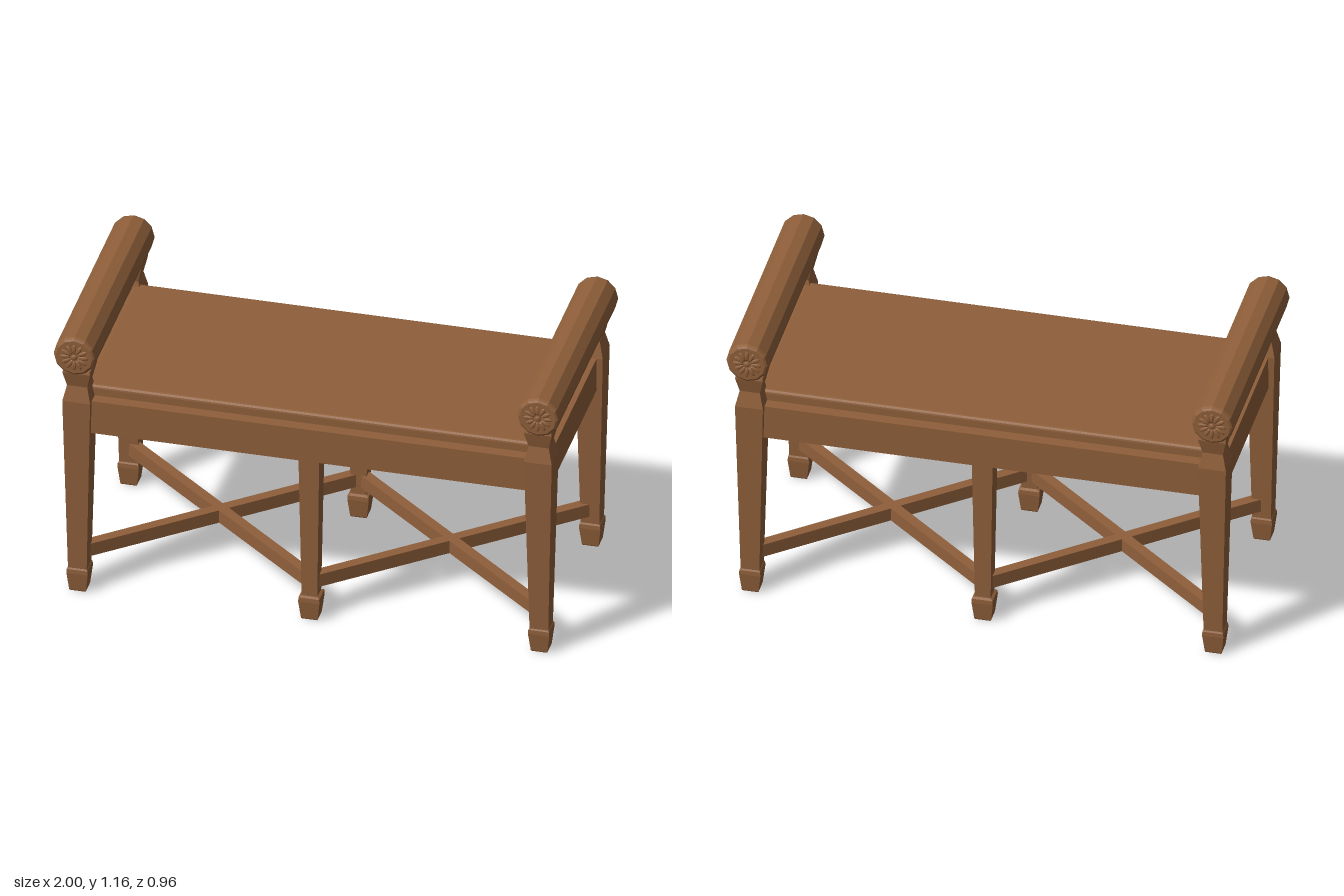
import * as THREE from 'three';
import { RoundedBoxGeometry } from 'three/addons/geometries/RoundedBoxGeometry.js';

const wood = new THREE.MeshStandardMaterial({ color: 0x8f5f3a, flatShading: true });

function part(name, geometry, x = 0, y = 0, z = 0) {
  const mesh = new THREE.Mesh(geometry, wood);
  mesh.name = name;
  mesh.position.set(x, y, z);
  return mesh;
}

function turned(profile, sides) {
  return new THREE.LatheGeometry(profile.map(([r, y]) => new THREE.Vector2(r, y)), sides);
}

// Square post from [half width, height] pairs, bottom to top
function post(profile) {
  const last = profile[profile.length - 1];
  const rows = [[0, profile[0][1]], ...profile.map(([h, y]) => [h * Math.SQRT2, y]), [0, last[1]]];
  return turned(rows, 4).rotateY(Math.PI / 4);
}

// Carved flower on a bolster end, facing +z
function rosette() {
  const group = new THREE.Group();
  group.name = 'rosette';
  const petal = new THREE.SphereGeometry(1, 8, 6).scale(0.021, 0.0085, 0.005);
  for (let i = 0; i < 12; i++) {
    const a = (i / 12) * Math.PI * 2;
    const p = part('petal', petal, Math.cos(a) * 0.036, Math.sin(a) * 0.036, 0);
    p.rotation.z = a;
    group.add(p);
  }
  group.add(part('rosetteCentre', new THREE.SphereGeometry(1, 10, 6).scale(0.012, 0.012, 0.006)));
  return group;
}

export function createModel() {
  const bench = new THREE.Group();
  bench.name = 'bench';

  // Seat frame and pad
  bench.add(part('seatFrame', new THREE.BoxGeometry(1.885, 0.143, 0.86), 0, 0.7885, 0));
  bench.add(part('seatPad', new RoundedBoxGeometry(1.79, 0.075, 0.768, 2, 0.014), 0, 0.8665, 0));

  // Legs with spade feet; corner legs rise to a waisted capital
  const foot = [[0.031, 0], [0.033, 0.004], [0.042, 0.08], [0.041, 0.098], [0.037, 0.104]];
  const corner = post([...foot, [0.055, 0.86], [0.04, 0.925], [0.053, 0.98], [0.055, 0.99], [0.052, 1.0]]);
  const middle = post([...foot.slice(0, 4), [0.031, 0.104], [0.041, 0.73]]);
  for (const z of [-1, 1]) {
    for (const x of [-1, 1]) bench.add(part('cornerLeg', corner, x * 0.912, 0, z * 0.4));
    bench.add(part('middleLeg', middle, 0, 0, z * 0.385));
  }

  // Crossed stretchers in each bay
  const dx = 0.9, dz = 0.77;
  const bar = new THREE.BoxGeometry(Math.hypot(dx, dz), 0.055, 0.042);
  for (const side of [-1, 1]) {
    for (const slope of [-1, 1]) {
      const s = part('stretcher', bar, side * 0.455, 0.162, 0);
      s.rotation.y = slope * Math.atan2(dz, dx);
      bench.add(s);
    }
  }

  // Faceted bolster arms with eased ends
  const bolster = turned([
    [0, -0.472], [0.072, -0.472], [0.08, -0.467], [0.084, -0.457],
    [0.084, 0.457], [0.08, 0.467], [0.072, 0.472], [0, 0.472],
  ], 12).rotateX(Math.PI / 2);
  for (const side of [-1, 1]) {
    const arm = new THREE.Group();
    arm.name = 'bolsterArm';
    arm.position.set(side * 0.916, 1.073, 0);
    arm.add(part('bolster', bolster));
    for (const end of [-1, 1]) {
      const flower = rosette();
      flower.position.z = end * 0.473;
      if (end < 0) flower.rotation.y = Math.PI;
      arm.add(flower);
    }
    bench.add(arm);
  }
  return bench;
}
